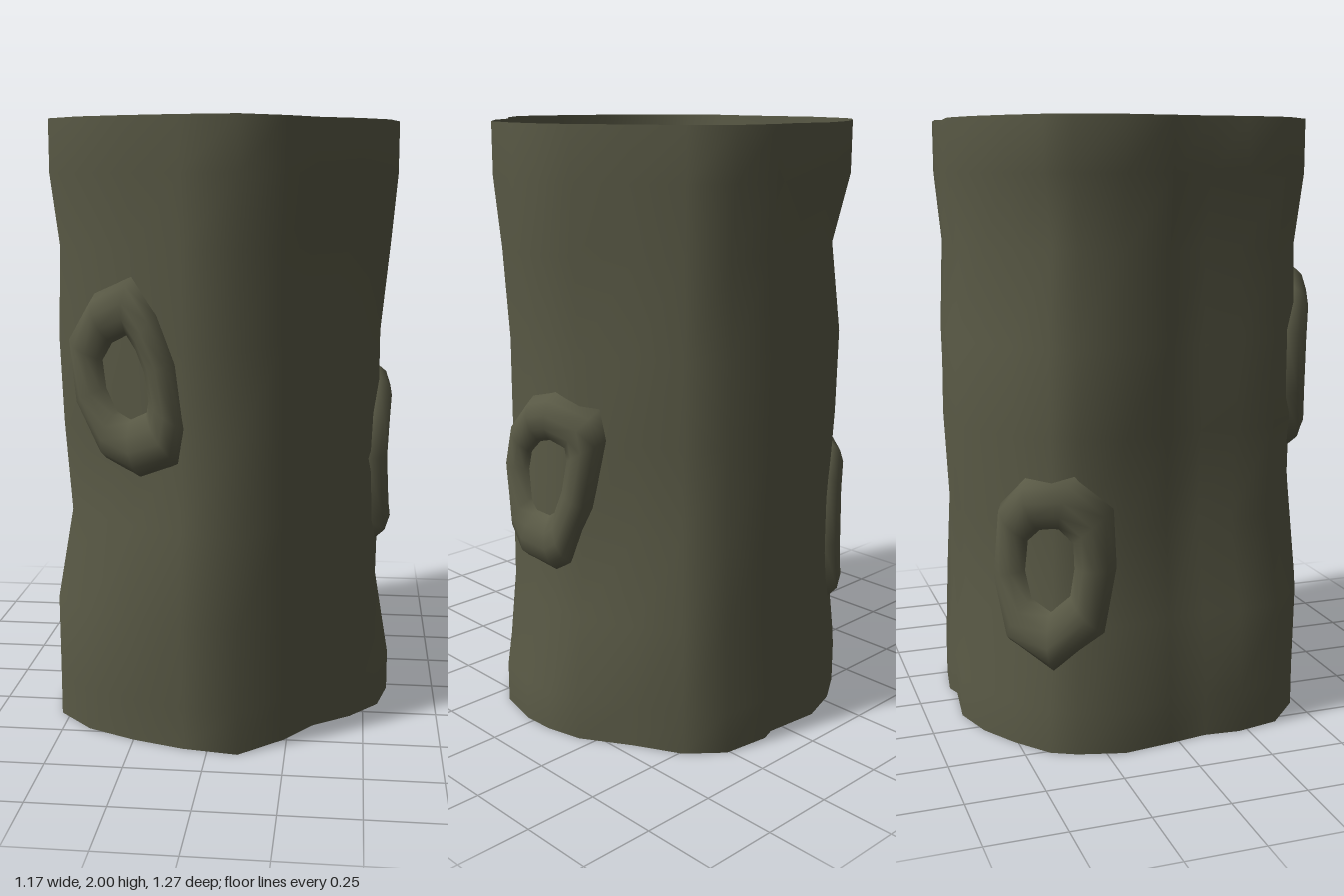
import * as THREE from 'three';

// Plan outline of the trunk, as [x, z], turning from +x towards +z
const outline = [
  [0.585, 0.03], [0.55, 0.18], [0.455, 0.29], [0.33, 0.38], [0.24, 0.5], [0.1, 0.625], [-0.08, 0.6],
  [-0.25, 0.55], [-0.41, 0.48], [-0.53, 0.365], [-0.56, 0.22], [-0.55, 0.1], [-0.57, -0.03],
  [-0.59, -0.19], [-0.55, -0.34], [-0.51, -0.42], [-0.4, -0.51], [-0.28, -0.585], [-0.14, -0.63],
  [0.05, -0.61], [0.1, -0.627], [0.26, -0.605], [0.37, -0.51], [0.45, -0.36], [0.55, -0.2], [0.58, -0.08],
];
const TAU = Math.PI * 2;
const wrap = (a) => ((a % TAU) + TAU) % TAU;
const polar = outline.map(([x, z]) => ({ a: wrap(Math.atan2(z, x)), r: Math.hypot(x, z) }));

// Height of each ring and its change in radius in eight directions, 45 degrees apart
const none = [0, 0, 0, 0, 0, 0, 0, 0];
const rings = [
  [0, none],
  [0.14, none],
  [0.42, [-0.05, -0.02, 0.02, 0.005, -0.02, -0.03, -0.025, 0]],
  [0.72, [-0.045, -0.03, 0.015, -0.055, -0.06, -0.04, -0.015, -0.04]],
  [1.02, [-0.05, -0.03, -0.01, -0.03, -0.05, -0.025, 0, -0.03]],
  [1.3, [-0.05, -0.03, -0.015, -0.02, -0.03, -0.02, -0.005, -0.015]],
  [1.6, [-0.02, -0.03, -0.01, -0.03, -0.035, -0.055, -0.025, -0.02]],
  [1.83, none],
  [2, none],
];

function outlineRadius(angle) {
  const n = polar.length;
  for (let i = 0; i < n; i++) {
    const p = polar[i], q = polar[(i + 1) % n];
    const span = wrap(q.a - p.a), t = wrap(angle - p.a);
    if (t <= span) return p.r + (q.r - p.r) * (t / span);
  }
  return polar[0].r;
}

function ringChange(list, angle) {
  const s = wrap(angle) / (TAU / 8), i = Math.floor(s) % 8;
  return THREE.MathUtils.lerp(list[i], list[(i + 1) % 8], THREE.MathUtils.smoothstep(s - Math.floor(s), 0, 1));
}

// Radius of the bark at any angle and height
function barkRadius(angle, y) {
  let k = 0;
  while (k < rings.length - 2 && y > rings[k + 1][0]) k++;
  const t = (y - rings[k][0]) / (rings[k + 1][0] - rings[k][0]);
  const change = THREE.MathUtils.lerp(ringChange(rings[k][1], angle), ringChange(rings[k + 1][1], angle), t);
  return outlineRadius(angle) + change;
}

// Skin closed loops of points, all of equal length, into a smooth surface
function skin(loops) {
  const n = loops[0].length, index = [];
  for (let k = 0; k < loops.length - 1; k++) {
    for (let i = 0; i < n; i++) {
      const j = (i + 1) % n;
      const a = k * n + i, b = k * n + j, c = a + n, d = b + n;
      index.push(a, c, b, b, c, d);
    }
  }
  const geometry = new THREE.BufferGeometry();
  geometry.setAttribute('position', new THREE.Float32BufferAttribute(loops.flat(2), 3));
  geometry.setIndex(index);
  geometry.computeVertexNormals();
  return geometry;
}

// Knot cross-section from outer edge to hole: [scale of outline, height above bark]
const knotSection = [[0.98, -0.05], [1, -0.005], [0.9, 0.03], [0.74, 0.045], [0.58, 0.036], [0.45, 0.012], [0.38, -0.02]];

// Knots: facing angle, centre of the hole and clockwise outline, as [across, height]
const knots = [
  { name: 'frontKnot', facing: 90, centre: [-0.27, 1.2],
    edge: [[-0.455, 1.32], [-0.37, 1.46], [-0.24, 1.52], [-0.16, 1.4], [-0.1, 1.25], [-0.07, 1.05],
      [-0.09, 0.94], [-0.22, 0.885], [-0.34, 0.93], [-0.43, 1.1]] },
  { name: 'leftKnot', facing: 0, centre: [0.035, 0.88],
    edge: [[-0.18, 0.88], [-0.13, 1.03], [-0.02, 1.14], [0.09, 1.17], [0.25, 1.13], [0.265, 1.03],
      [0.22, 0.8], [0.14, 0.6], [0.08, 0.56], [-0.07, 0.57], [-0.14, 0.65]] },
  { name: 'backKnot', facing: 225, centre: [0.04, 0.605],
    edge: [[-0.17, 0.55], [-0.145, 0.79], [-0.04, 0.89], [0.13, 0.91], [0.23, 0.8], [0.24, 0.61],
      [0.215, 0.4], [0.07, 0.27], [-0.11, 0.34]] },
];

function knotGeometry({ facing, centre, edge }) {
  const face = THREE.MathUtils.degToRad(facing);
  return skin(knotSection.map(([scale, lift]) => edge.map(([u, v]) => {
    const across = centre[0] + (u - centre[0]) * scale;
    const y = centre[1] + (v - centre[1]) * scale;
    // find the angle at which the bark lies this far across
    let angle = face;
    for (let i = 0; i < 8; i++) angle = face - Math.asin(across / barkRadius(angle, y));
    const r = barkRadius(angle, y) + lift;
    return [r * Math.cos(angle), y, r * Math.sin(angle)];
  })));
}

export function createModel() {
  const group = new THREE.Group();
  group.name = 'hollowTrunk';
  const bark = new THREE.MeshStandardMaterial({ color: 0x5a5a46, side: THREE.DoubleSide });
  bark.name = 'barkOlive';

  // Open tube of bark
  const trunk = new THREE.Mesh(skin(rings.map(([y]) => polar.map(({ a }) => {
    const r = barkRadius(a, y);
    return [r * Math.cos(a), y, r * Math.sin(a)];
  }))), bark);
  trunk.name = 'trunk';
  group.add(trunk);

  // Raised ring-shaped knots
  for (const knot of knots) {
    const mesh = new THREE.Mesh(knotGeometry(knot), bark);
    mesh.name = knot.name;
    group.add(mesh);
  }
  return group;
}
